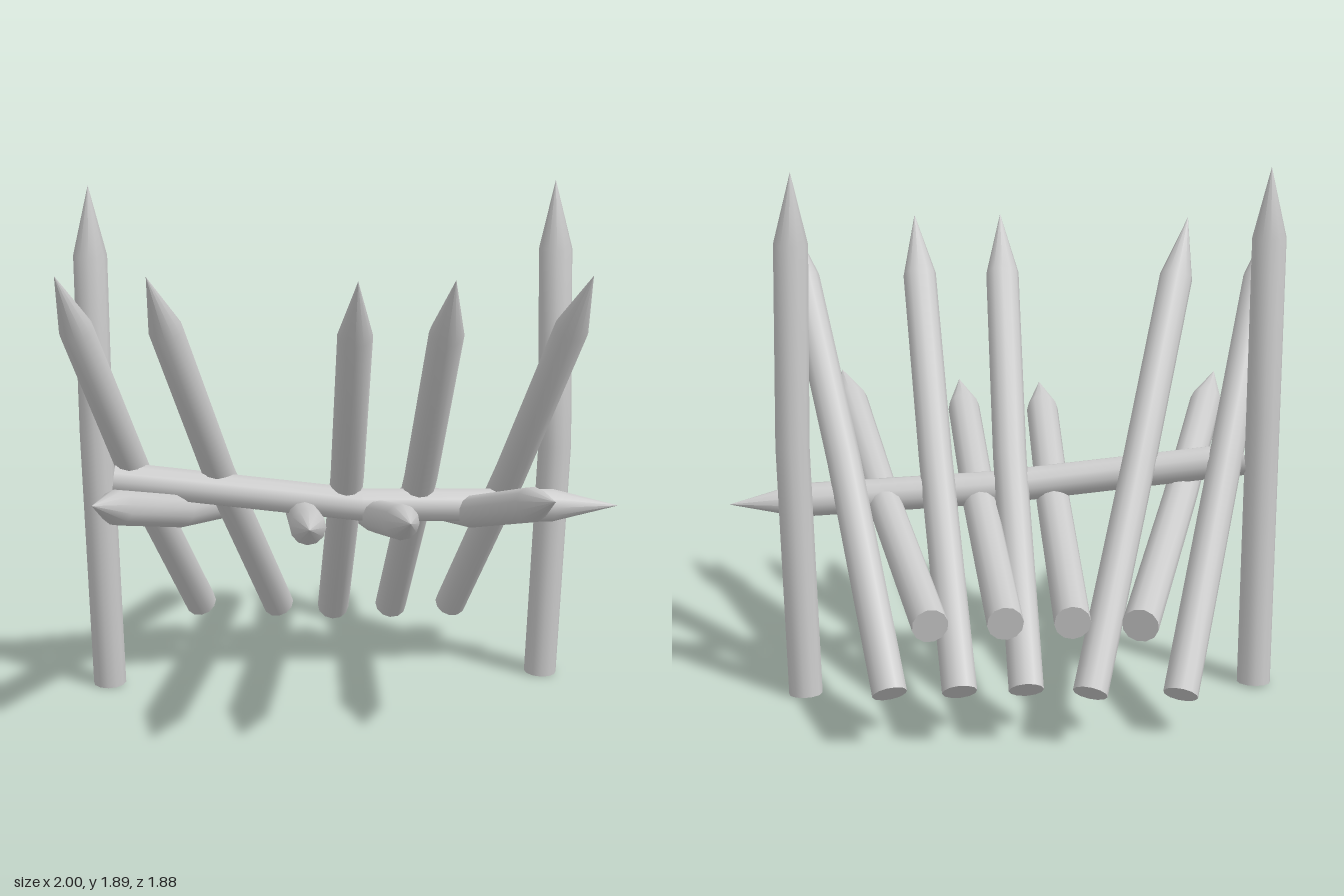
import * as THREE from 'three';
import { toCreasedNormals } from 'three/addons/utils/BufferGeometryUtils.js';

const RADIUS = 0.061, TIP = 0.25, SIDES = 12;
const material = new THREE.MeshStandardMaterial({ color: 0xcccccc });

// Sharpened log, slightly bent at its middle: base, bend and tip points
function stake(name, basePt, bendPt, tipPt) {
  const [base, bend, tip] = [basePt, bendPt, tipPt].map(p => new THREE.Vector3(...p));
  const shoulder = tip.clone().addScaledVector(tip.clone().sub(bend).normalize(), -TIP);
  const centres = [base, base, bend, shoulder, tip];
  const radii = [0, RADIUS, RADIUS, RADIUS, 0];
  const geo = new THREE.LatheGeometry(radii.map((r, i) => new THREE.Vector2(r, i)), SIDES);

  // Tilt each ring square to the log and move it onto the bent axis
  const up = new THREE.Vector3(0, 1, 0);
  const lower = bend.clone().sub(base).normalize();
  const upper = tip.clone().sub(bend).normalize();
  const middle = lower.clone().add(upper).normalize();
  const turns = [lower, lower, middle, upper, upper]
    .map(d => new THREE.Quaternion().setFromUnitVectors(up, d));
  const pos = geo.attributes.position, v = new THREE.Vector3();
  for (let i = 0; i < pos.count; i++) {
    const ring = Math.round(pos.getY(i));
    v.set(pos.getX(i), 0, pos.getZ(i)).applyQuaternion(turns[ring]).add(centres[ring]);
    pos.setXYZ(i, v.x, v.y, v.z);
  }
  const mesh = new THREE.Mesh(toCreasedNormals(geo, Math.PI / 4), material);
  mesh.name = name;
  return mesh;
}

export function createModel() {
  const model = new THREE.Group();
  model.name = 'stakeBarricade';

  // Upright posts
  model.add(
    stake('rightPost', [-0.92, 0.01, -0.11], [-0.935, 1.0, -0.045], [-0.94, 1.9, -0.05]),
    stake('leftPost', [0.72, 0.01, -0.24], [0.752, 0.92, -0.195], [0.735, 1.9, -0.22]));

  // Cross rail
  model.add(stake('rail', [-0.87, 0.835, -0.02], [0.03, 0.73, -0.035], [0.99, 0.695, -0.15]));

  // Steep stakes: base x, base z, bend x, tip x, tip z
  const steep = new THREE.Group();
  steep.name = 'steepStakes';
  [
    [-0.61, -0.63, -0.8, -1.0, 0.43],
    [-0.3, -0.62, -0.49, -0.69, 0.45],
    [-0.08, -0.59, -0.02, 0.02, 0.54],
    [0.15, -0.61, 0.25, 0.345, 0.51],
    [0.39, -0.63, 0.58, 0.81, 0.42],
  ].forEach(([bx, bz, mx, tx, tz], i) => steep.add(stake(`steepStake${i + 1}`,
    [bx, 0.155, bz], [mx, 0.84, -0.07 + (tz - 0.43) * 0.5], [tx, 1.655, tz])));
  model.add(steep);

  // Shallow stakes: base x, base z, bend x, bend y, tip x, tip y, tip z
  const shallow = new THREE.Group();
  shallow.name = 'shallowStakes';
  [
    [-0.45, -0.925, -0.64, 0.7, -0.84, 0.975, 0.86],
    [-0.23, -0.9, -0.18, 0.675, -0.135, 0.915, 0.93],
    [-0.01, -0.91, 0.09, 0.68, 0.19, 0.93, 0.91],
    [0.235, -0.935, 0.445, 0.7, 0.66, 0.985, 0.84],
  ].forEach(([bx, bz, mx, my, tx, ty, tz], i) => shallow.add(stake(`shallowStake${i + 1}`,
    [bx, 0.505, bz], [mx, my, -0.05], [tx, ty, tz])));
  model.add(shallow);

  return model;
}
